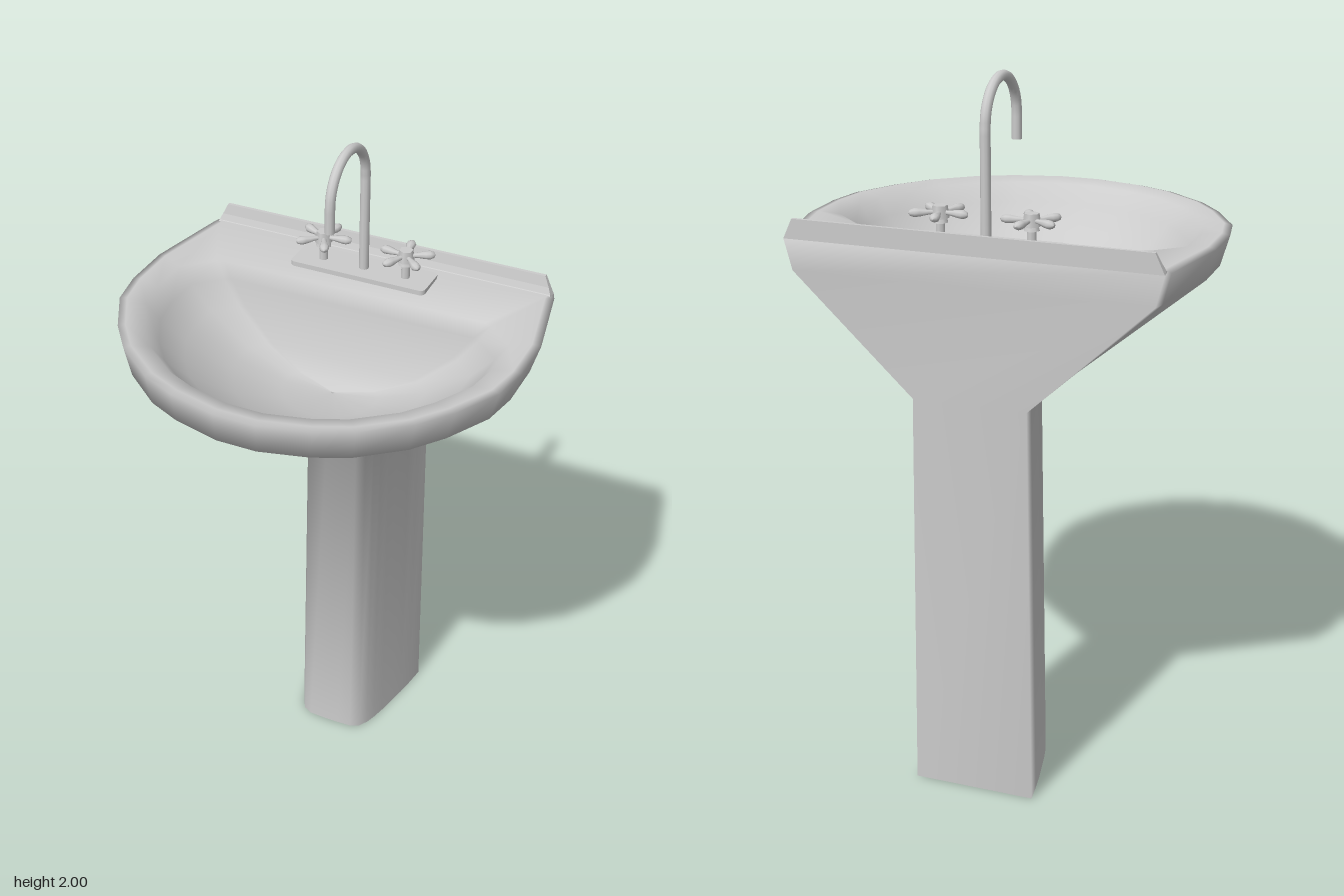
import * as THREE from 'three';

const material = new THREE.MeshStandardMaterial({ color: 0xcccccc, side: THREE.DoubleSide });

function add(parent, name, geometry, x = 0, y = 0, z = 0) {
  const mesh = new THREE.Mesh(geometry, material);
  mesh.name = name;
  mesh.position.set(x, y, z);
  parent.add(mesh);
  return mesh;
}

// Half outlines [x, z] from the back corner round to the front
const RIM = [[0.52, -0.465], [0.53, -0.44], [0.58, -0.19], [0.58, -0.04], [0.56, 0.07],
  [0.49, 0.2], [0.42, 0.29], [0.3, 0.385], [0.2, 0.43], [0.06, 0.465]];
const NECK = [[0.16, -0.465], [0.153, -0.41], [0.145, -0.36], [0.135, -0.31], [0.125, -0.26],
  [0.115, -0.22], [0.105, -0.19], [0.09, -0.165], [0.065, -0.152], [0.025, -0.15]];

// Full mirrored ring at height y, each point passed through a rule
function ring(half, y, rule = (x, z) => [x, z]) {
  const side = half.map(([x, z], i) => rule(x, z, i));
  const other = side.map(([x, z]) => [-x, z]).reverse();
  return [...side, ...other].map(([x, z]) => [x, y, z]);
}

// Smooth skin through rings of equal length
function loft(rings) {
  const n = rings[0].length, index = [];
  for (let r = 0; r < rings.length - 1; r++) {
    for (let i = 0; i < n; i++) {
      const a = r * n + i, b = r * n + (i + 1) % n;
      index.push(a, a + n, b, b, a + n, b + n);
    }
  }
  const geometry = new THREE.BufferGeometry();
  geometry.setAttribute('position', new THREE.Float32BufferAttribute(rings.flat(2), 3));
  geometry.setIndex(index);
  geometry.computeVertexNormals();
  return geometry;
}

function addBasin(group) {
  // Bowl edge: a straight back behind the bowl, then parallel to the rim
  const edge = (x, z, i) => (i === 0 ? [0.4, -0.245] : i === 1 ? [0.42, -0.235] : [x * 0.86, z * 0.86]);
  const bowl = (s, y) => ring(RIM, y, (x, z, i) => {
    const [ex, ez] = edge(x, z, i);
    return [ex * s, (ez + 0.13) * s - 0.13];
  });
  // Open-bottomed pedestal, flaring underside, rounded lip and bowl
  add(group, 'pedestalAndBasin', loft([
    ring(NECK, 0, (x, z) => [x * 1.09, (z + 0.465) * 1.065 - 0.465]),
    ring(NECK, 1.16),
    ring(RIM, 1.48, (x, z, i) => [x * 0.957, i === 0 ? z : z * 0.98]),
    ring(RIM, 1.565),
    ring(RIM, 1.57, (x, z, i) => (i === 0 ? [x * 0.98, -0.44] : [x * 0.96, z * 0.96])),
    bowl(1, 1.56), bowl(0.93, 1.51), bowl(0.8, 1.44), bowl(0.55, 1.355), bowl(0.28, 1.305), bowl(0.01, 1.29),
  ]));

  // Backsplash: profile in (-z, y) run along x, narrowing toward the top
  const profile = new THREE.Shape([[0.465, 1.565], [0.465, 1.62], [0.455, 1.62], [0.449, 1.59],
    [0.442, 1.572], [0.432, 1.562]].map(([z, y]) => new THREE.Vector2(z, y)));
  const splash = new THREE.ExtrudeGeometry(profile, { depth: 1.04, bevelEnabled: false });
  splash.translate(0, 0, -0.52).rotateY(Math.PI / 2);
  const p = splash.attributes.position;
  for (let i = 0; i < p.count; i++) {
    p.setX(i, p.getX(i) * (1 - Math.max(0, p.getY(i) - 1.565) * 0.9));
  }
  splash.computeVertexNormals();
  add(group, 'backsplash', splash);
}

function addFaucet(group) {
  // Mounting plate with rounded corners
  const w = 0.206, d = 0.057, r = 0.015;
  const shape = new THREE.Shape();
  [[w - r, d - r, 0], [r - w, d - r, 1], [r - w, r - d, 2], [w - r, r - d, 3]].forEach(([x, y, q]) =>
    shape.absarc(x, y, r, q * Math.PI / 2, (q + 1) * Math.PI / 2, false));
  const plate = new THREE.ExtrudeGeometry(shape, { depth: 0.024, bevelEnabled: false, curveSegments: 4 });
  add(group, 'faucetPlate', plate.rotateX(-Math.PI / 2), -0.01, 1.553, -0.357);

  // Gooseneck spout
  const path = new THREE.CurvePath();
  const v = (y, z) => new THREE.Vector3(-0.009, y, z);
  const arc = [];
  for (let i = 0; i <= 12; i++) {
    const a = Math.PI * i / 12;
    arc.push(v(1.87 + 0.116 * Math.sin(a), -0.238 - 0.116 * Math.cos(a)));
  }
  path.add(new THREE.LineCurve3(v(1.56, -0.354), arc[0]));
  path.add(new THREE.CatmullRomCurve3(arc));
  path.add(new THREE.LineCurve3(arc[12], v(1.8, -0.122)));
  add(group, 'spout', new THREE.TubeGeometry(path, 48, 0.014, 10));
  add(group, 'spoutEnd', new THREE.CircleGeometry(0.014, 10).rotateX(Math.PI / 2), -0.009, 1.8, -0.122);
}

// Paddle-shaped petal pointing along +x, widest near its tip
const petalProfile = [[0.007, 0.015], [0.008, 0.03], [0.013, 0.055], [0.014, 0.068], [0.009, 0.079], [0, 0.083]]
  .map(([radius, along]) => new THREE.Vector2(radius, along));
const petalGeometry = new THREE.LatheGeometry(petalProfile, 8).rotateZ(-Math.PI / 2).scale(1, 0.85, 1);

// Tap handle: stem, hub and five petals
function addHandle(group, name, x, side) {
  const handle = new THREE.Group();
  handle.name = name;
  handle.position.set(x, 0, -0.355);
  add(handle, 'stem', new THREE.CylinderGeometry(0.012, 0.014, 0.08, 8), 0, 1.6, 0);
  add(handle, 'collar', new THREE.CylinderGeometry(0.018, 0.022, 0.012, 8), 0, 1.624, 0);
  add(handle, 'hub', new THREE.CylinderGeometry(0.02, 0.025, 0.034, 6), 0, 1.646, 0);
  for (let i = 0; i < 5; i++) {
    const a = (8 + 72 * i) * Math.PI / 180;
    add(handle, 'petal', petalGeometry, 0, 1.645, 0).rotation.y = side > 0 ? Math.PI - a : a;
  }
  group.add(handle);
}

export function createModel() {
  const group = new THREE.Group();
  group.name = 'pedestalSink';
  addBasin(group);
  addFaucet(group);
  addHandle(group, 'rightHandle', -0.135, -1);
  addHandle(group, 'leftHandle', 0.118, 1);
  return group;
}
